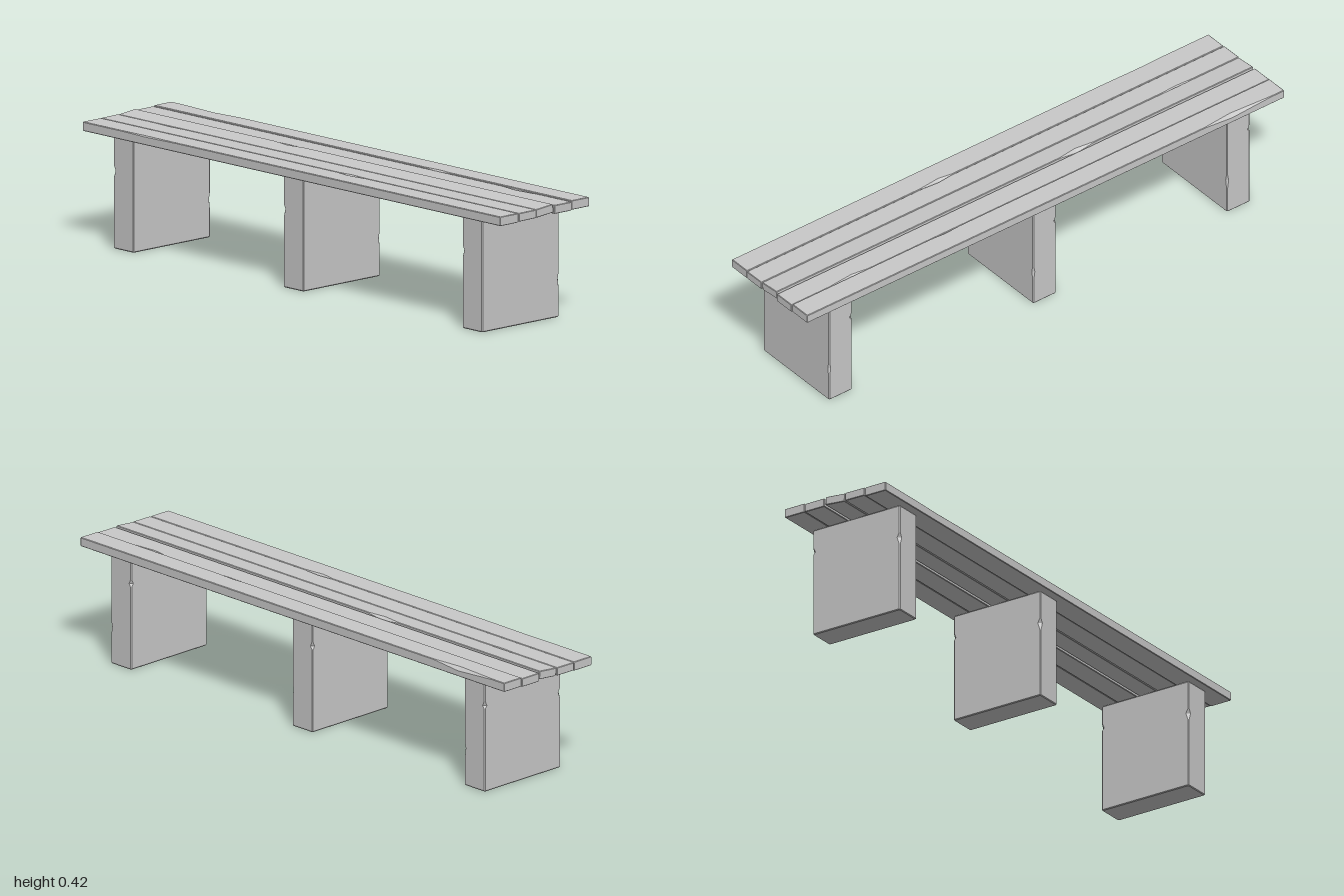
import * as THREE from 'three';

// Chamfered beam along x (height in y, width in z). Corners run 0: +y+z, 1: -y+z, 2: -y-z, 3: +y-z.
// Each chip [corner, from, peak, to, depth] widens one corner's chamfer around its peak.
function beam(length, height, width, bevel, chips = []) {
  const L = length / 2;
  const stations = [-L, -L + bevel, L - bevel, L];
  chips.forEach(([, from, peak, to]) => stations.push(from, peak, to));
  stations.sort((a, b) => a - b);

  const rings = stations.map((x) => {
    const inset = Math.abs(x) >= L - 1e-6 ? bevel * 0.8 : 0;
    const h = height / 2 - inset, w = width / 2 - inset;
    const points = [];
    [[1, 1], [-1, 1], [-1, -1], [1, -1]].forEach(([sy, sz], corner) => {
      let depth = 0;
      chips.forEach(([c, from, peak, to, d]) => {
        if (c !== corner || x <= from || x >= to) return;
        depth = Math.max(depth, d * (x < peak ? (x - from) / (peak - from) : (to - x) / (to - peak)));
      });
      const cz = bevel + depth, cy = Math.min(cz, height * 0.4);
      const pair = [
        new THREE.Vector3(x, sy * h, sz * (w - cz)),
        new THREE.Vector3(x, sy * (h - cy), sz * w),
      ];
      if (sy * sz < 0) pair.reverse();
      points.push(...pair);
    });
    return points;
  });

  const pos = [];
  const tri = (...p) => p.forEach((v) => pos.push(v.x, v.y, v.z));
  for (let s = 0; s < rings.length - 1; s++) {
    const a = rings[s], b = rings[s + 1];
    for (let i = 0; i < 8; i++) {
      const j = (i + 1) % 8;
      tri(a[i], a[j], b[j]);
      tri(a[i], b[j], b[i]);
    }
  }
  const first = rings[0], last = rings[rings.length - 1];
  for (let i = 1; i < 7; i++) {
    tri(first[0], first[i + 1], first[i]);
    tri(last[0], last[i], last[i + 1]);
  }
  const geometry = new THREE.BufferGeometry();
  geometry.setAttribute('position', new THREE.Float32BufferAttribute(pos, 3));
  geometry.computeVertexNormals();
  return geometry;
}

export function createModel() {
  const group = new THREE.Group();
  group.name = 'bench';
  const stone = new THREE.MeshStandardMaterial({ color: 0xc8c8c8, flatShading: true });
  stone.name = 'plain grey';

  // Seat planks, front to back, one of them warped out of level
  const planks = [
    { z: 0.164, y: 0.3955, h: 0.031, w: 0.081, len: 1.994, tilt: 0,
      chips: [[3, 0.14, 0.19, 0.27, 0.008], [0, -0.8, -0.7, -0.55, 0.002]] },
    { z: 0.083, y: 0.397, h: 0.028, w: 0.078, len: 1.998, tilt: 0.01,
      chips: [[0, 0.15, 0.2, 0.26, 0.005], [3, -0.8, -0.74, -0.67, 0.003]] },
    { z: 0.0035, y: 0.4005, h: 0.028, w: 0.077, len: 1.994, tilt: 0.09,
      chips: [[3, -0.33, -0.26, -0.19, 0.01]] },
    { z: -0.0775, y: 0.399, h: 0.029, w: 0.078, len: 2, tilt: 0,
      chips: [[3, 0.68, 0.74, 0.84, 0.009]] },
    { z: -0.158, y: 0.4015, h: 0.031, w: 0.079, len: 1.996, tilt: 0,
      chips: [[3, -0.94, -0.78, -0.67, 0.01], [0, 0.3, 0.36, 0.42, 0.004]] },
  ];
  planks.forEach((p, i) => {
    const mesh = new THREE.Mesh(beam(p.len, p.h, p.w, 0.002, p.chips), stone);
    mesh.name = `seatPlank${i + 1}`;
    mesh.position.set(0, p.y, p.z);
    mesh.rotation.x = p.tilt;
    group.add(mesh);
  });

  // Slab legs, the same beam stood on end with worn corners
  const legChips = [
    [0, 0.05, 0.075, 0.09, 0.008],
    [3, 0.1, 0.11, 0.125, 0.007],
    [2, -0.09, -0.06, -0.04, 0.004],
  ];
  [['rightLeg', -0.829], ['middleLeg', -0.018], ['leftLeg', 0.836]].forEach(([name, x]) => {
    const geometry = beam(0.378, 0.096, 0.348, 0.003, legChips);
    geometry.rotateZ(Math.PI / 2);
    const mesh = new THREE.Mesh(geometry, stone);
    mesh.name = name;
    mesh.position.set(x, 0.19, 0.005);
    mesh.position.y = 0.189;
    group.add(mesh);
  });

  return group;
}
